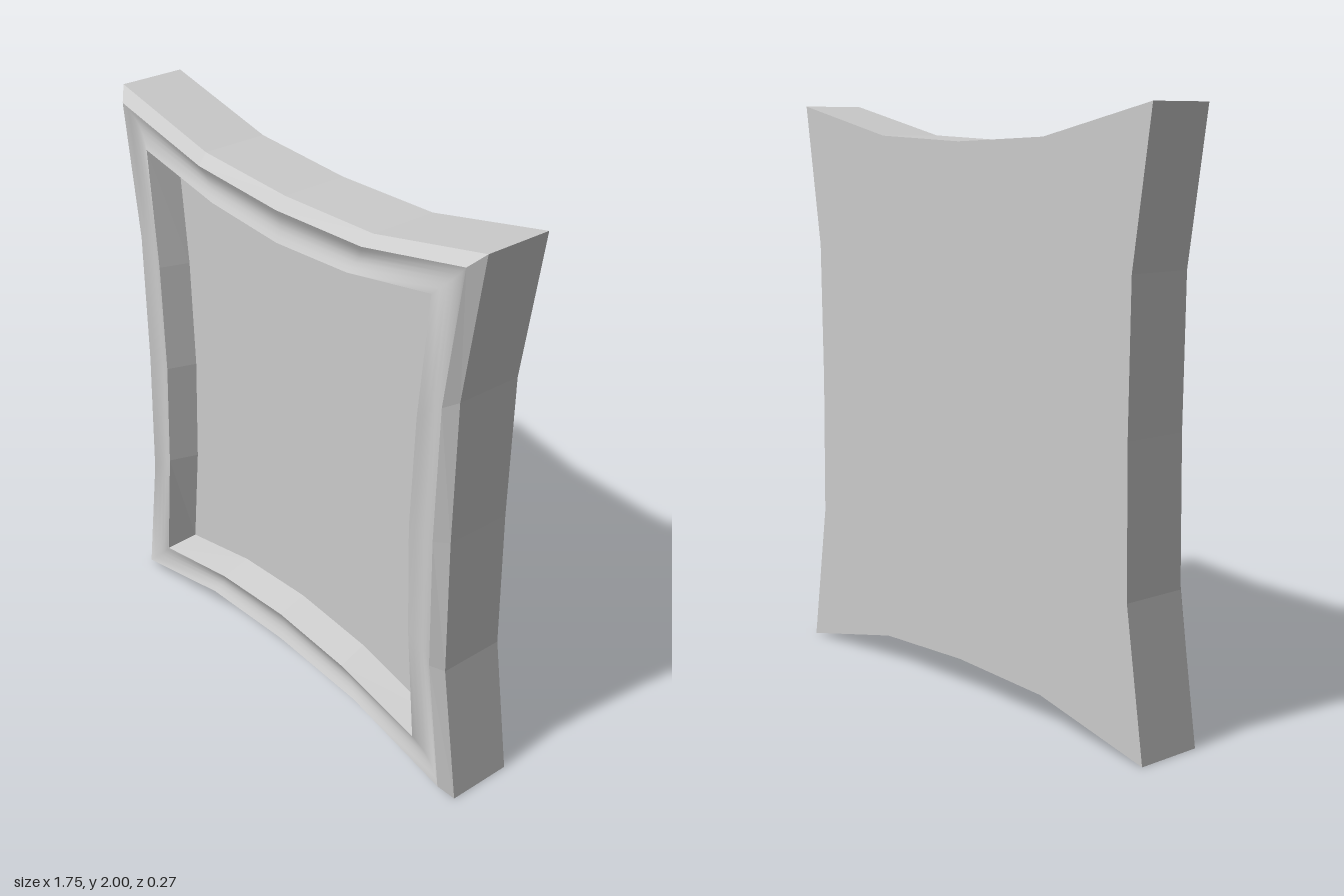
import * as THREE from 'three';

// Quarter outline of each ring, from the middle of the top to the middle of the side (y from the centre)
const OUTER = [[0, 0.88], [0.41, 0.897], [0.875, 1], [0.8, 0.5], [0.793, 0]];
const RIDGE = [[0, 0.842], [0.4, 0.862], [0.83, 0.955], [0.763, 0.48], [0.752, 0]];
const LIP = [[0, 0.732], [0.335, 0.755], [0.7, 0.825], [0.66, 0.4], [0.645, 0]];
const PANEL = [[0, 0.697], [0.33, 0.72], [0.665, 0.79], [0.625, 0.4], [0.61, 0]];
const BACK = -0.137, SHOULDER = 0.1, FRONT = 0.137, FLOOR = 0.033;

// Mirrors a quarter outline into a closed anticlockwise loop at depth z
function ring(quarter, z) {
  const up = quarter.slice().reverse();
  const pts = [
    ...up.slice(0, 4),
    ...quarter.slice(0, 4).map(([x, y]) => [-x, y]),
    ...up.slice(0, 4).map(([x, y]) => [-x, -y]),
    ...quarter.slice(0, 4).map(([x, y]) => [x, -y]),
  ];
  return pts.map(([x, y]) => new THREE.Vector3(x, y + 1, z));
}

const blend = (a, b, t) => a.map(([x, y], i) => [x + (b[i][0] - x) * t, y + (b[i][1] - y) * t]);

// Skins neighbouring loops, back to front along the outside and then inward
function loft(name, rings, smooth) {
  const n = rings[0].length;
  const index = [];
  for (let r = 0; r < rings.length - 1; r++) {
    for (let i = 0; i < n; i++) {
      const j = (i + 1) % n;
      const a = r * n + i, b = r * n + j, c = a + n, d = b + n;
      index.push(a, b, d, a, d, c);
    }
  }
  return build(name, rings.flat(), index, smooth);
}

// Fills one loop with a flat face
function cap(name, loop, facesFront) {
  const n = loop.length;
  const pts = [...loop, new THREE.Vector3(0, 1, loop[0].z)];
  const index = [];
  for (let i = 0; i < n; i++) {
    const j = (i + 1) % n;
    index.push(n, ...(facesFront ? [i, j] : [j, i]));
  }
  return build(name, pts, index, false);
}

function build(name, pts, index, smooth) {
  const geometry = new THREE.BufferGeometry().setFromPoints(pts);
  geometry.setIndex(index);
  geometry.computeVertexNormals();
  const material = new THREE.MeshStandardMaterial({ color: 0xcccccc, flatShading: !smooth });
  const mesh = new THREE.Mesh(geometry, material);
  mesh.name = name;
  return mesh;
}

export function createModel() {
  const group = new THREE.Group();
  group.name = 'pictureFrame';

  // Shallow hollow moulding running round the front of the frame
  const moulding = [];
  for (let k = 0; k <= 6; k++) {
    const t = k / 6;
    moulding.push(ring(blend(RIDGE, LIP, t), FRONT - 0.018 * Math.sin(Math.PI * t)));
  }

  group.add(
    loft('outerEdge', [ring(OUTER, BACK), ring(OUTER, SHOULDER)], false),
    loft('outerBevel', [ring(OUTER, SHOULDER), ring(RIDGE, FRONT)], false),
    loft('frontMoulding', moulding, true),
    loft('innerWall', [ring(LIP, FRONT), ring(PANEL, FLOOR)], false),
    cap('recessedPanel', ring(PANEL, FLOOR), true),
    cap('backPanel', ring(OUTER, BACK), false),
  );
  return group;
}
